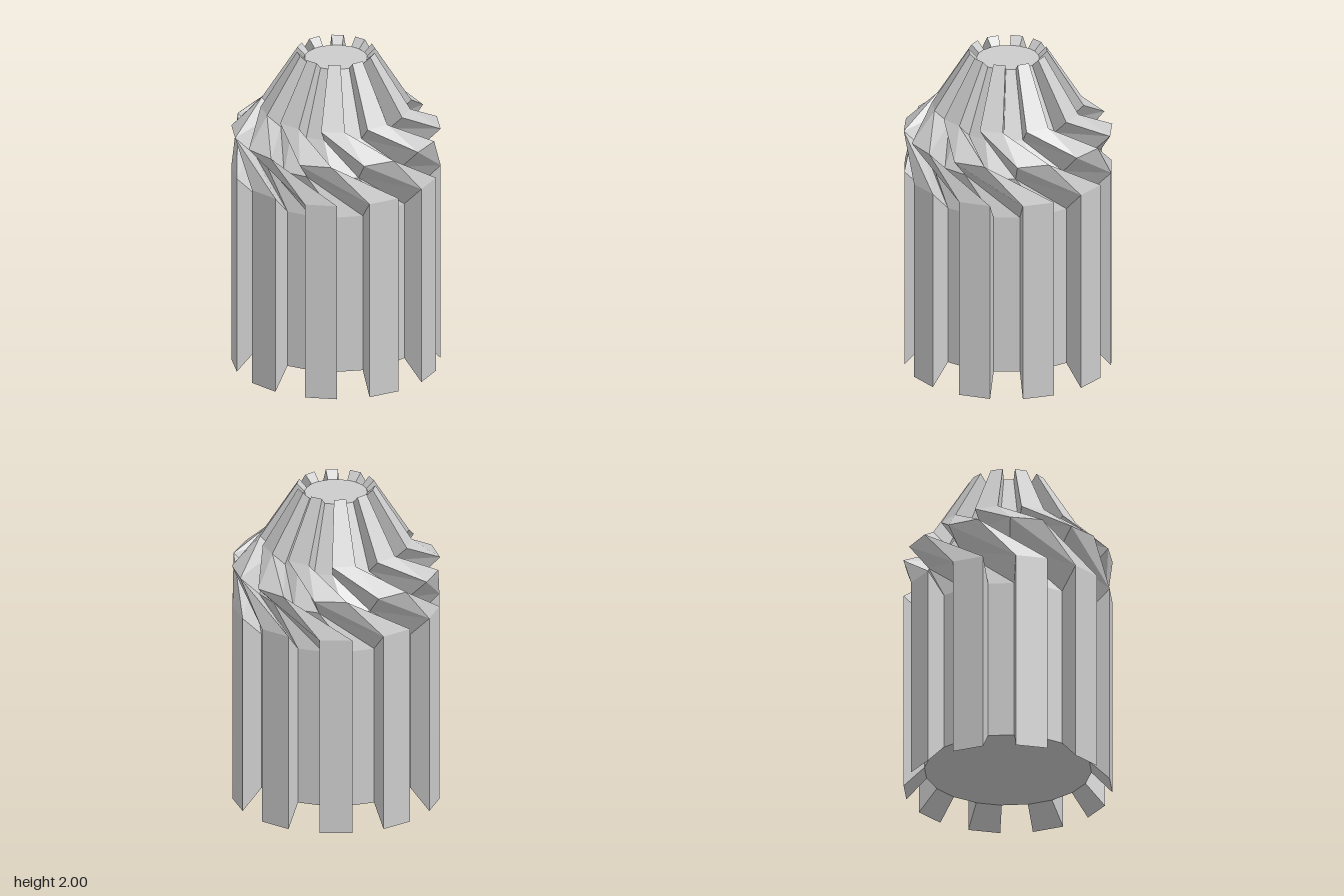
import * as THREE from 'three';

const SIDES = 20;
// Rings from bottom to top: rib radius, rib height, groove height, twist in degrees
const RINGS = [
  { r: 0.625, y: 0.0, inner: 0.125, twist: 0 },
  { r: 0.625, y: 1.25, inner: 1.125, twist: 0 },
  { r: 0.625, y: 1.5, inner: 1.375, twist: -39 },
  { r: 0.453, y: 1.655, inner: 1.565, twist: -66 },
  { r: 0.235, y: 2.0, inner: 1.953, twist: -66 },
];
const TOP = RINGS.length - 1;

// Corner j of ring k, on the rib crest or on the groove floor
function corner(k, j, crest) {
  const ring = RINGS[k];
  const a = THREE.MathUtils.degToRad((j * 360) / SIDES + ring.twist);
  const r = crest ? ring.r : ring.r * 0.8;
  return new THREE.Vector3(r * Math.sin(a), crest ? ring.y : ring.inner, r * Math.cos(a));
}
const crest = (k, j) => corner(k, j, true);
const floor = (k, j) => corner(k, j, false);

// Quad split along its shorter diagonal
function quad(out, a, b, c, d) {
  if (a.distanceTo(c) <= b.distanceTo(d)) out.push(a, b, c, a, c, d);
  else out.push(a, b, d, b, c, d);
}

function makeMesh(name, points) {
  const geometry = new THREE.BufferGeometry().setFromPoints(points);
  geometry.computeVertexNormals();
  const material = new THREE.MeshStandardMaterial({ color: 0xcccccc, flatShading: true });
  const mesh = new THREE.Mesh(geometry, material);
  mesh.name = name;
  return mesh;
}

// Groove floors between the ribs, closed by a flat cap at both ends
function buildCore() {
  const out = [];
  const bottom = new THREE.Vector3(0, RINGS[0].inner, 0);
  const top = new THREE.Vector3(0, RINGS[TOP].inner, 0);
  for (let j = 0; j < SIDES; j++) {
    out.push(bottom, floor(0, j + 1), floor(0, j));
    out.push(top, floor(TOP, j), floor(TOP, j + 1));
    if (j % 2 === 0) continue;
    for (let k = 0; k < TOP; k++) {
      quad(out, floor(k, j), floor(k, j + 1), floor(k + 1, j + 1), floor(k + 1, j));
    }
  }
  return makeMesh('core', out);
}

// One rib: crest, two side walls and bevelled ends
function buildRib(j) {
  const out = [];
  const n = j + 1;
  for (let k = 0; k < TOP; k++) {
    quad(out, crest(k, j), crest(k, n), crest(k + 1, n), crest(k + 1, j));
    quad(out, floor(k, j), crest(k, j), crest(k + 1, j), floor(k + 1, j));
    quad(out, crest(k, n), floor(k, n), floor(k + 1, n), crest(k + 1, n));
  }
  quad(out, floor(0, j), floor(0, n), crest(0, n), crest(0, j));
  quad(out, crest(TOP, j), crest(TOP, n), floor(TOP, n), floor(TOP, j));
  return makeMesh('rib', out);
}

export function createModel() {
  const model = new THREE.Group();
  model.name = 'twistedRibbedBody';
  model.add(buildCore());
  for (let j = 0; j < SIDES; j += 2) model.add(buildRib(j));
  return model;
}
